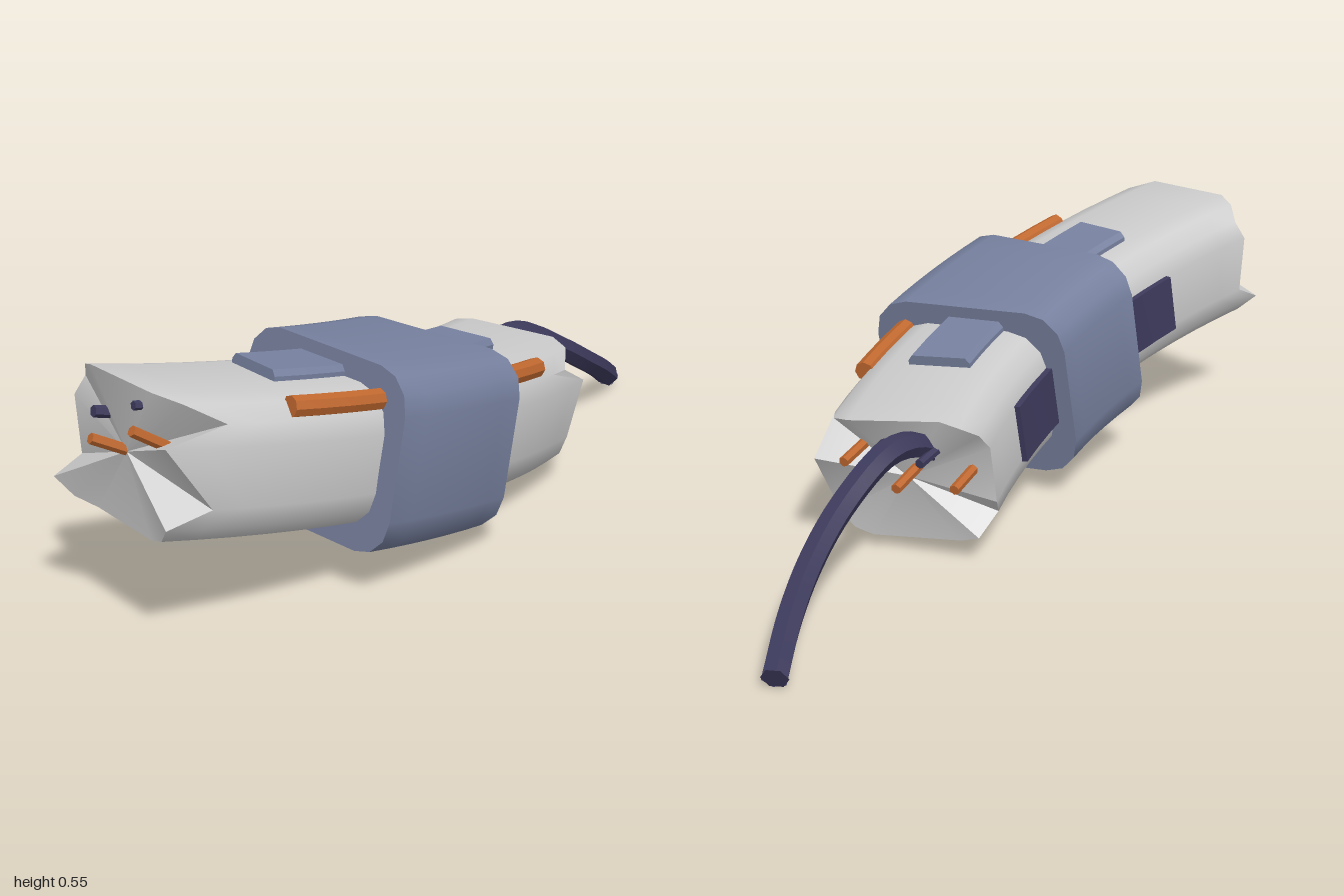
import * as THREE from 'three';
import { toCreasedNormals } from 'three/addons/utils/BufferGeometryUtils.js';

const R = 1.92; // bend radius of the duct
const mat = (color) => new THREE.MeshStandardMaterial({ color, side: THREE.DoubleSide });

// rounded rectangle, counter-clockwise from the right side, four points per corner
function roundRect(w, h, r) {
  const pts = [];
  [[1, 1], [-1, 1], [-1, -1], [1, -1]].forEach(([sx, sy], c) => {
    for (let k = 0; k < 4; k++) {
      const a = (c + k / 3) * Math.PI / 2;
      pts.push([sx * (w - r) + r * Math.cos(a), sy * (h - r) + r * Math.sin(a)]);
    }
  });
  return pts;
}

function ngon(cx, cy, r, n) {
  return Array.from({ length: n }, (_, i) => {
    const a = (i / n) * Math.PI * 2;
    return [cx + r * Math.cos(a), cy + r * Math.sin(a)];
  });
}

// point at section offset (u, v) and arc length s along the bend
function bend(u, v, s) {
  const a = s / R;
  return [(R + u) * Math.cos(a) - R, v, (R + u) * Math.sin(a)];
}

// sweep a section along the bend; each section point may have its own end lengths
function sweep(pts, from, to, steps, crease = 0.65) {
  const n = pts.length, pos = [], idx = [];
  const start = (i) => (Array.isArray(from) ? from[i] : from);
  const end = (i) => (Array.isArray(to) ? to[i] : to);
  for (let j = 0; j <= steps; j++) {
    pts.forEach(([u, v], i) => pos.push(...bend(u, v, start(i) + (end(i) - start(i)) * j / steps)));
  }
  for (let j = 0; j < steps; j++) {
    for (let i = 0; i < n; i++) {
      const k = (i + 1) % n, a = j * n + i, b = j * n + k;
      idx.push(a, b, b + n, a, b + n, a + n);
    }
  }
  // end caps fan out from the mean point
  const mean = (f) => pts.reduce((t, p, i) => t + f(p, i), 0) / n;
  const cu = mean((p) => p[0]), cv = mean((p) => p[1]);
  pos.push(...bend(cu, cv, mean((p, i) => start(i))), ...bend(cu, cv, mean((p, i) => end(i))));
  const c0 = (steps + 1) * n, c1 = c0 + 1, last = steps * n;
  for (let i = 0; i < n; i++) {
    const k = (i + 1) % n;
    idx.push(c0, k, i, c1, last + i, last + k);
  }
  const g = new THREE.BufferGeometry();
  g.setAttribute('position', new THREE.Float32BufferAttribute(pos, 3));
  g.setIndex(idx);
  return toCreasedNormals(g, crease);
}

export function createModel() {
  const root = new THREE.Group();
  const grey = mat(0xcccccc), blue = mat(0x77819f), dark = mat(0x3d3a5c), copper = mat(0xc0682f);
  const add = (parent, name, geo, m) => {
    const mesh = new THREE.Mesh(geo, m);
    mesh.name = name;
    parent.add(mesh);
    return mesh;
  };

  // bent duct assembly, pitched up at the front and rolled slightly
  const duct = new THREE.Group();
  duct.name = 'duct';
  duct.position.set(0.02, 0.285, 0.27);
  duct.rotation.set(-0.158, 0, -0.06);
  root.add(duct);

  // shell with torn ends
  const back = [-0.64, -0.52, -0.6, -0.63, -0.64, -0.65, -0.62, -0.59,
    -0.6, -0.56, -0.63, -0.62, -0.6, -0.59, -0.58, -0.58];
  const front = [0.677, 0.55, 0.63, 0.678, 0.72, 0.71, 0.69, 0.706,
    0.67, 0.74, 0.7, 0.66, 0.64, 0.64, 0.65, 0.565];
  add(duct, 'shell', sweep(roundRect(0.195, 0.155, 0.09), back, front, 16), grey);

  // clamp band around the middle
  add(duct, 'clampBand', sweep(roundRect(0.246, 0.206, 0.09), -0.18, 0.18, 6), blue);

  // bevelled strip on top, thin strip on the right-hand side, copper rod on the corner
  const topStrip = [[-0.095, 0.145], [0.055, 0.145], [0.055, 0.165], [0.045, 0.178], [-0.085, 0.178], [-0.095, 0.165]];
  add(duct, 'topStrip', sweep(topStrip, -0.375, 0.37, 10, 0.4), blue);
  const sideStrip = [[-0.208, -0.07], [-0.185, -0.07], [-0.185, 0.07], [-0.208, 0.07]];
  add(duct, 'sideStrip', sweep(sideStrip, -0.39, 0.4, 10, 0.4), dark);
  add(duct, 'cornerRod', sweep(ngon(0.165, 0.135, 0.024, 8), -0.385, 0.405, 12, 0.4), copper);

  // short wire ends sticking out of both openings
  const wire = (name, a, b, r, m) => {
    const p = new THREE.Vector3(...a), q = new THREE.Vector3(...b), d = q.clone().sub(p);
    const g = new THREE.CylinderGeometry(r, r, d.length(), 6);
    const mesh = add(root, name, toCreasedNormals(g, 0.5), m);
    mesh.position.copy(p).add(q).multiplyScalar(0.5);
    mesh.quaternion.setFromUnitVectors(new THREE.Vector3(0, 1, 0), d.normalize());
  };
  wire('frontCopperWire', [-0.08, 0.365, 0.85], [-0.125, 0.435, 0.98], 0.012, copper);
  wire('frontCopperWire', [0.05, 0.39, 0.85], [0.01, 0.485, 0.995], 0.012, copper);
  wire('frontDarkWire', [-0.14, 0.445, 0.83], [-0.166, 0.47, 0.93], 0.013, dark);
  wire('frontDarkWire', [-0.01, 0.5, 0.84], [-0.034, 0.515, 0.945], 0.01, dark);
  wire('backCopperWire', [0.02, 0.27, -0.33], [0.01, 0.255, -0.44], 0.012, copper);
  wire('backCopperWire', [-0.1, 0.23, -0.3], [-0.11, 0.21, -0.415], 0.012, copper);
  wire('backCopperWire', [-0.215, 0.23, -0.27], [-0.225, 0.215, -0.36], 0.012, copper);
  wire('backDarkWire', [-0.04, 0.29, -0.32], [-0.05, 0.28, -0.41], 0.011, dark);
  wire('backDarkWire', [-0.15, 0.28, -0.3], [-0.155, 0.27, -0.39], 0.011, dark);

  // loose cable drooping from the back
  const path = new THREE.CatmullRomCurve3([
    [-0.125, 0.27, -0.3], [-0.12, 0.305, -0.38], [-0.112, 0.305, -0.46], [-0.1, 0.235, -0.6],
    [-0.115, 0.165, -0.73], [-0.155, 0.1, -0.86], [-0.21, 0.035, -0.985],
  ].map((p) => new THREE.Vector3(...p)));
  add(root, 'cable', toCreasedNormals(new THREE.TubeGeometry(path, 24, 0.03, 6), 0.5), dark);
  const cap = add(root, 'cableEnd', new THREE.CircleGeometry(0.03, 6), dark);
  cap.position.copy(path.getPoint(1));
  cap.lookAt(path.getPoint(1).add(path.getTangent(1)));

  return root;
}
